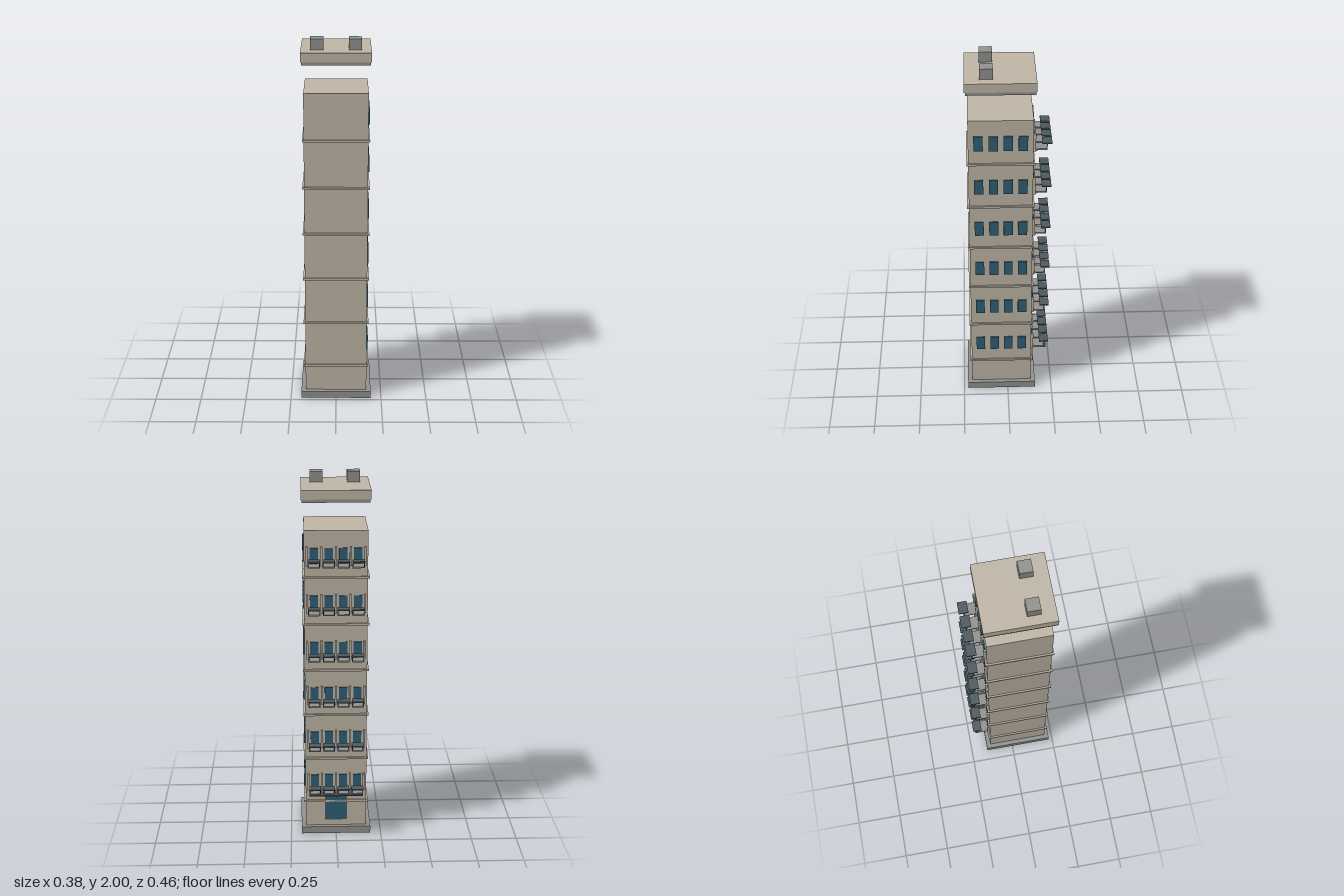
import * as THREE from 'three';

const mat = (name, color) => {
  const m = new THREE.MeshStandardMaterial({ color });
  m.name = name;
  return m;
};

export function createModel() {
  const stone = mat('beige stone', 0xbfb6a7);
  const concrete = mat('grey concrete', 0x91928f);
  const glass = mat('blue glass', 0x2f6075);
  const metal = mat('dark metal', 0x4d5a60);

  const root = new THREE.Group();
  root.name = 'tower';

  // Box given by its limits on each axis
  const box = (parent, name, material, [x0, x1], [y0, y1], [z0, z1]) => {
    const mesh = new THREE.Mesh(new THREE.BoxGeometry(x1 - x0, y1 - y0, z1 - z0), material);
    mesh.position.set((x0 + x1) / 2, (y0 + y1) / 2, (z0 + z1) / 2);
    mesh.name = name;
    parent.add(mesh);
    return mesh;
  };
  // Square slab centred on the tower's axis
  const CZ = 0.036;
  const slab = (parent, name, material, half, y0, y1) =>
    box(parent, name, material, [-half, half], [y0, y1], [CZ - half, CZ + half]);

  const FLOORS = 6, PITCH = 0.2575, FIRST = 0.186, WALL = 0.168;
  const BACK = CZ - WALL;

  slab(root, 'base', concrete, 0.192, 0, 0.04);
  slab(root, 'groundFloor', stone, WALL, 0.04, FIRST);

  // Entrance door
  box(root, 'doorFrame', metal, [-0.061, 0.061], [0.074, 0.247], [BACK - 0.004, BACK + 0.002]);
  box(root, 'door', glass, [-0.056, 0.056], [0.079, 0.242], [BACK - 0.007, BACK]);

  for (let i = 0; i < FLOORS; i++) {
    const y = FIRST + i * PITCH;
    const floor = new THREE.Group();
    floor.name = 'floor' + (i + 1);
    root.add(floor);

    slab(floor, 'walls', stone, WALL, y, y + (i === FLOORS - 1 ? 0.257 : PITCH));
    slab(floor, 'ledge', stone, 0.177, y, y + 0.011);

    // Side windows
    for (let k = 0; k < 4; k++) {
      const z = CZ + (k - 1.5) * 0.077;
      box(floor, 'sideWindow', glass, [WALL - 0.002, WALL + 0.007], [y + 0.085, y + 0.168], [z - 0.024, z + 0.024]);
    }

    // Pilasters between the back windows
    for (let k = 0; k < 5; k++) {
      const x = (k - 2) * 0.0765;
      box(floor, 'pilaster', stone, [x - 0.005, x + 0.005], [y + 0.07, y + 0.172], [BACK - 0.013, BACK]);
    }

    // Back windows with balconies
    for (let k = 0; k < 4; k++) {
      const x = (k - 1.5) * 0.0775;
      box(floor, 'backWindow', glass, [x - 0.022, x + 0.022], [y + 0.082, y + 0.165], [BACK - 0.007, BACK]);
      box(floor, 'balconySlab', concrete, [x - 0.032, x + 0.032], [y + 0.074, y + 0.081], [-0.205, BACK]);
      box(floor, 'balconyBracket', concrete, [x - 0.028, x + 0.028], [y + 0.066, y + 0.074], [-0.152, BACK]);
      box(floor, 'balconyTop', metal, [x - 0.032, x + 0.032], [y + 0.108, y + 0.115], [-0.229, -0.179]);
      for (const s of [-1, 1]) {
        const px = x + s * 0.029;
        box(floor, 'balconyPost', metal, [px - 0.002, px + 0.002], [y + 0.08, y + 0.109], [-0.205, -0.201]);
      }
    }
  }

  // Entrance canopy under the lowest balconies
  box(root, 'canopy', metal, [-0.147, 0.147], [0.256, 0.262], [-0.217, BACK]);

  // Raised roof with two vents
  slab(root, 'roofUnderside', concrete, 0.177, 1.878, 1.895);
  slab(root, 'roof', stone, 0.182, 1.895, 1.943);
  for (const s of [-1, 1]) {
    box(root, 'roofVent', concrete, [s * 0.099 - 0.034, s * 0.099 + 0.034], [1.943, 2], [0.073, 0.141]);
  }
  return root;
}
